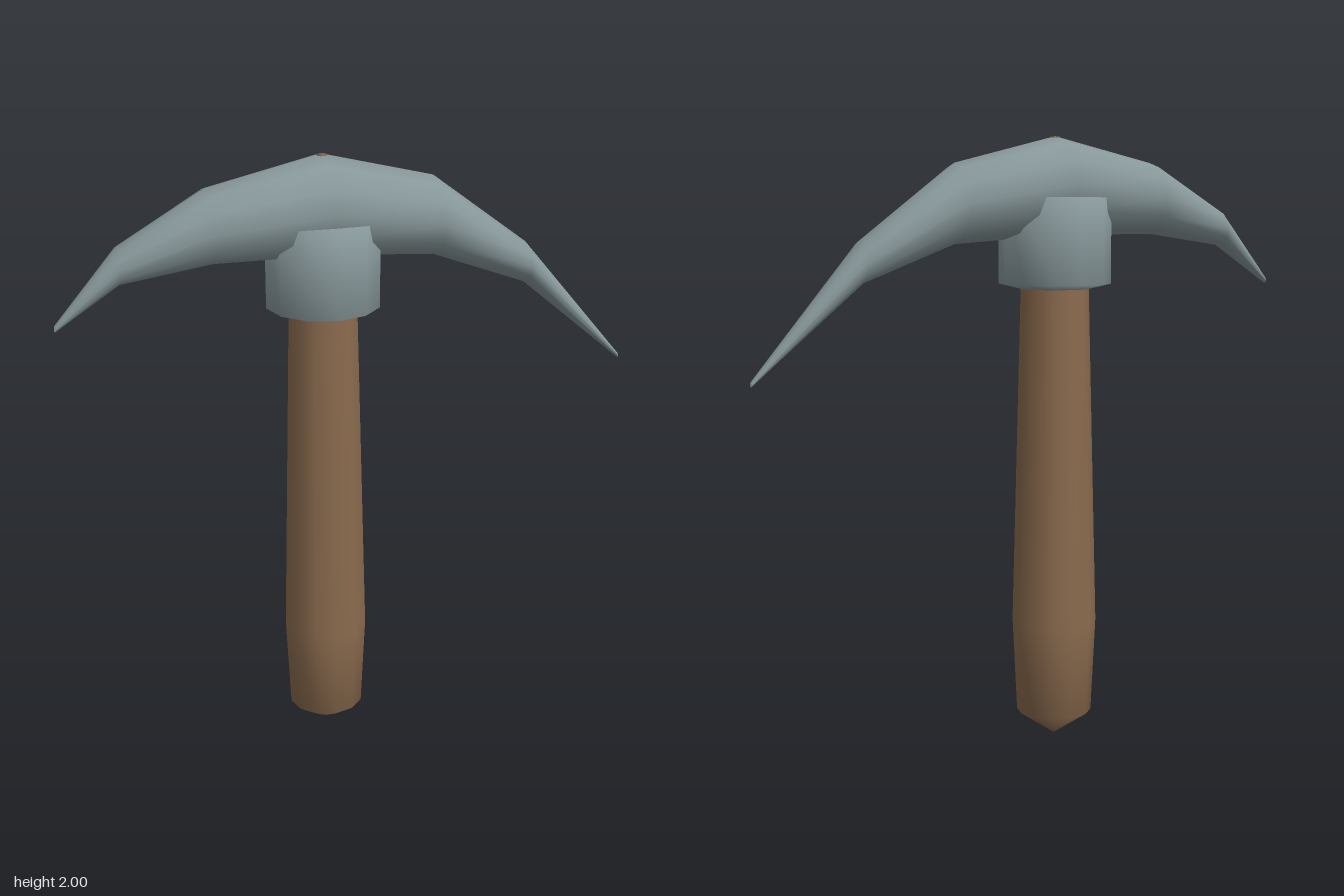
import * as THREE from 'three';

const SIDES = 12;
const AXIS_X = -0.1; // the handle sits off-centre because the pick arms differ

const metal = new THREE.MeshStandardMaterial({ color: 0x87979a });
metal.name = 'metal';
const wood = new THREE.MeshStandardMaterial({ color: 0x8b6b4e });
wood.name = 'wood';

// Turned part around the handle axis; profile is [radius, y] from bottom to top
function turned(name, profile, material) {
  const points = profile.map(([r, y]) => new THREE.Vector2(r, y));
  const mesh = new THREE.Mesh(new THREE.LatheGeometry(points, SIDES), material);
  mesh.name = name;
  mesh.position.x = AXIS_X;
  return mesh;
}

// Curved pick head: elliptical rings lofted along x
function pickHeadGeometry() {
  // x, top y, bottom y, half width in z
  const stations = [
    [-0.94, 1.532, 1.512, 0.01],
    [-0.74, 1.76, 1.645, 0.062],
    [-0.46, 1.92, 1.685, 0.118],
    [-0.1, 2.0, 1.682, 0.158],
    [0.26, 1.91, 1.656, 0.128],
    [0.58, 1.67, 1.535, 0.07],
    [0.937, 1.25, 1.234, 0.01],
  ];
  const positions = [];
  const index = [];
  for (const [x, top, bottom, halfWidth] of stations) {
    for (let j = 0; j < SIDES; j++) {
      const a = (j / SIDES) * Math.PI * 2;
      positions.push(x, (top + bottom) / 2 + (Math.cos(a) * (top - bottom)) / 2, Math.sin(a) * halfWidth);
    }
  }
  const last = stations.length - 1;
  for (let i = 0; i < last; i++) {
    for (let j = 0; j < SIDES; j++) {
      const k = (j + 1) % SIDES;
      const a = i * SIDES + j, b = a + SIDES;
      const c = i * SIDES + k, d = c + SIDES;
      index.push(a, c, b, b, c, d);
    }
  }
  // Blunt ends
  for (let j = 1; j < SIDES - 1; j++) {
    index.push(0, j + 1, j);
    index.push(last * SIDES, last * SIDES + j, last * SIDES + j + 1);
  }
  const geometry = new THREE.BufferGeometry();
  geometry.setAttribute('position', new THREE.Float32BufferAttribute(positions, 3));
  geometry.setIndex(index);
  geometry.computeVertexNormals();
  return geometry;
}

export function createModel() {
  const group = new THREE.Group();
  group.name = 'pickaxe';

  // Wooden handle with a pointed butt
  group.add(turned('handle', [
    [0, 0], [0.125, 0.085], [0.14, 0.4], [0.112, 1.5], [0.11, 1.75],
  ], wood));

  // Tip of the handle showing through the top of the head
  group.add(turned('handleTip', [
    [0.016, 1.9], [0.016, 1.998], [0, 2.0],
  ], wood));

  // Metal socket around the handle
  group.add(turned('collar', [
    [0.1, 1.505], [0.184, 1.525], [0.184, 1.803], [0, 1.81],
  ], metal));

  const head = new THREE.Mesh(pickHeadGeometry(), metal);
  head.name = 'pickHead';
  group.add(head);

  return group;
}
